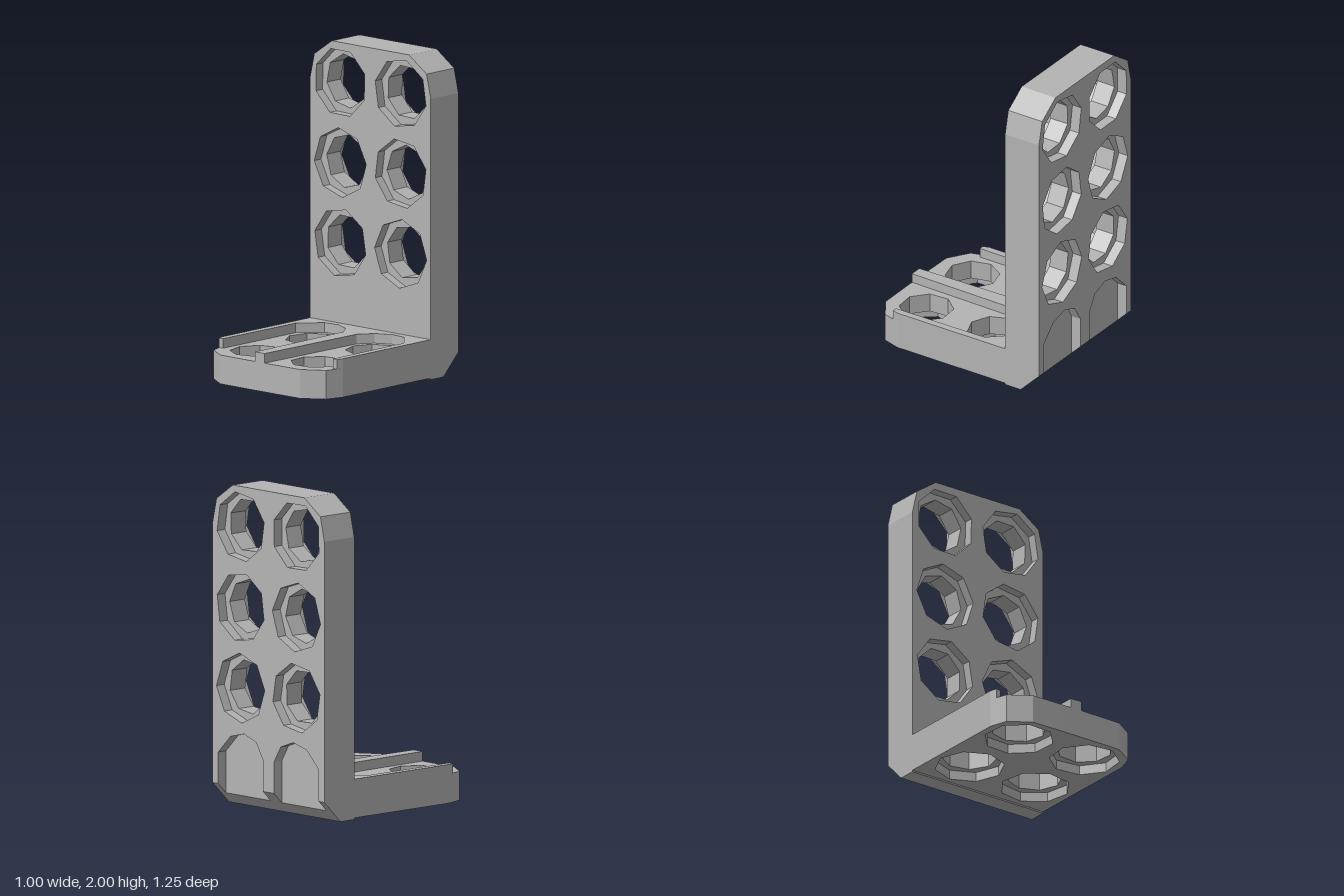
import * as THREE from 'three';

const metal = new THREE.MeshStandardMaterial({ color: 0xb4b4b4, flatShading: true });
metal.name = 'plain grey';

const BORE = 0.168, RECESS = 0.216, COLUMNS = [-0.25, 0.25];
const toShape = pts => new THREE.Shape(pts.map(p => new THREE.Vector2(p[0], p[1])));

// Mirrors a half outline (x > 0, listed bottom to top) into a closed one
const mirrored = half => [...half, ...half.slice().reverse().map(([x, y]) => [-x, y])];

// Octagonal hole, turned a little differently at each place
function hole(x, y, r) {
  const turn = 0.35 * x + 0.6 * y + (r > 0.2 ? 0.2 : 0);
  const pts = [];
  for (let i = 0; i < 8; i++) {
    const a = turn - i * Math.PI / 4;
    pts.push(new THREE.Vector2(x + r * Math.cos(a), y + r * Math.sin(a)));
  }
  return new THREE.Path(pts);
}

function perforated(outline, rows, r) {
  const s = toShape(outline);
  for (const y of rows) for (const x of COLUMNS) s.holes.push(hole(x, y, r));
  return s;
}

const extrude = (shape, depth) => new THREE.ExtrudeGeometry(shape, { depth, bevelEnabled: false });

export function createModel() {
  const group = new THREE.Group();
  group.name = 'angleBracket';
  const add = (name, geometry) => {
    const m = new THREE.Mesh(geometry, metal);
    m.name = name;
    group.add(m);
  };

  // Upright plate: recessed face layers around a core with narrower bores
  const rows = [0.75, 1.25, 1.75];
  const topCorner = [[0.5, 1.75], [0.465, 1.9], [0.32, 2]];
  const upright = mirrored([[0.5, 0.25], ...topCorner]);
  add('uprightFront', extrude(perforated(upright, rows, RECESS), 0.06).translate(0, 0, -0.435));
  add('uprightCore', extrude(perforated(upright, rows, BORE), 0.125).translate(0, 0, -0.56));

  // Back layer has two arched pockets open at the bottom chamfer
  const pocket = [[0.05, 0], [0.05, 0.33], [0.11, 0.43], [0.22, 0.47], [0.34, 0.44], [0.45, 0.33], [0.45, 0]];
  const back = extrude(perforated(mirrored([...pocket, [0.5, 0], ...topCorner]), rows, RECESS), 0.065)
    .translate(0, 0, -0.625);
  const p = back.attributes.position;
  for (let i = 0; i < p.count; i++) p.setY(i, Math.max(p.getY(i), -0.49 - p.getZ(i)));
  back.computeVertexNormals();
  add('uprightBack', back);

  // Chamfered heel: side profile (-z, y) swept across the width
  const heel = toShape([[0.375, 0], [0.49, 0], [0.56, 0.07], [0.56, 0.25], [0.375, 0.25]]);
  add('heel', extrude(heel, 1).rotateY(Math.PI / 2).translate(-0.5, 0, 0));

  // Foot plate, drawn in x and z
  const lay = (shape, y0, y1) => extrude(shape, y1 - y0).rotateX(Math.PI / 2).translate(0, y1, 0);
  const footRows = [-0.125, 0.375];
  const foot = mirrored([[0.5, -0.375], [0.5, 0.42], [0.465, 0.535], [0.33, 0.622], [0.1, 0.625]]);
  add('footUnderside', lay(perforated(foot, footRows, RECESS), 0.01, 0.07));
  add('footCore', lay(perforated(foot, footRows, BORE), 0.07, 0.19));

  // Raised ribs left between the two round-ended channels
  const ribs = mirrored([
    [0.5, -0.375], [0.5, 0.42], [0.487, 0.46], [0.455, 0.46], [0.45, -0.19], [0.33, -0.32],
    [0.22, -0.33], [0.12, -0.28], [0.055, -0.19], [0.04, 0.625]
  ]);
  add('footRibs', lay(toShape(ribs), 0.19, 0.25));

  return group;
}
